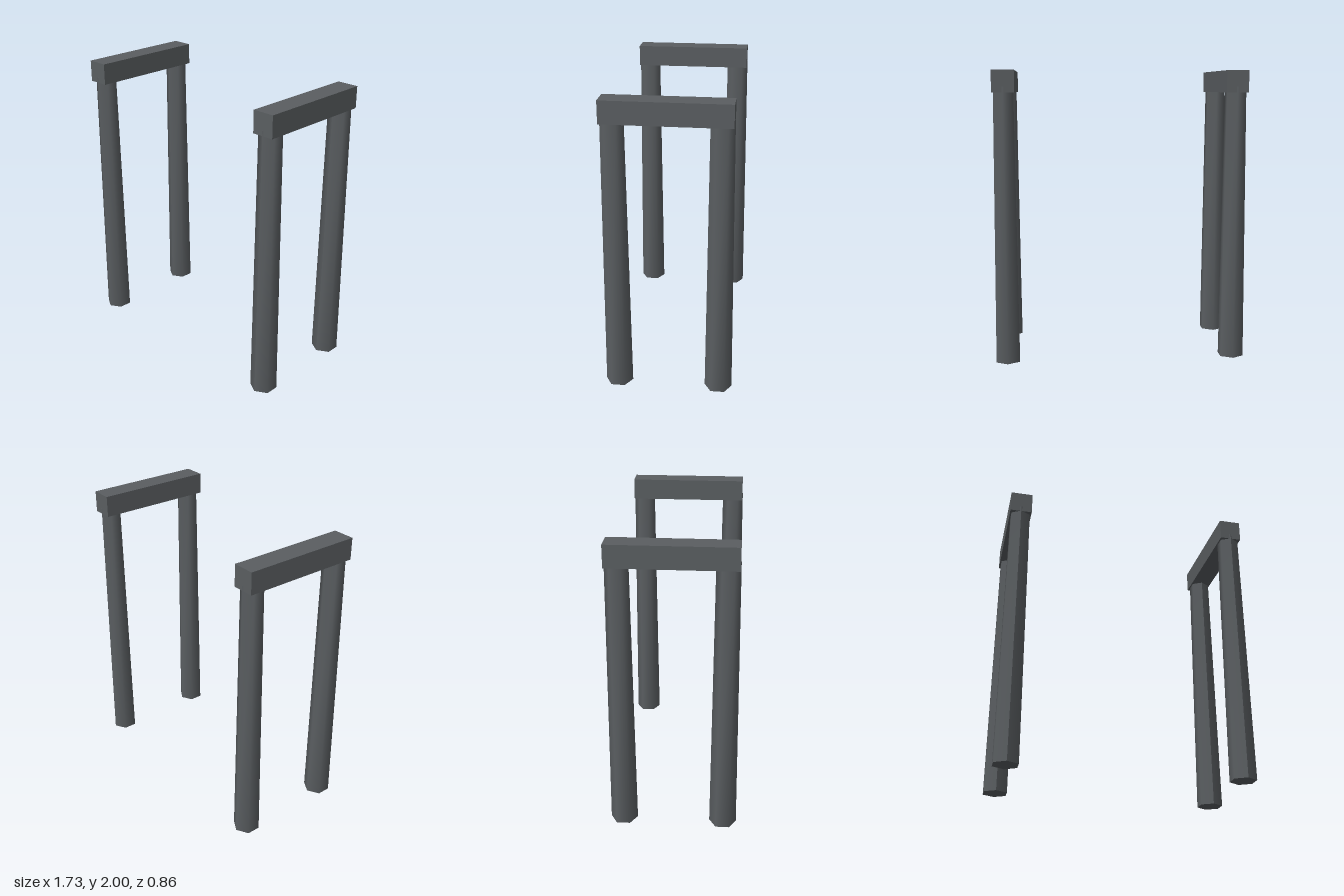
import * as THREE from 'three';

export function createModel() {
  const model = new THREE.Group();
  model.name = 'twinGateFrames';
  const darkGrey = new THREE.MeshStandardMaterial({ color: 0x5a5e61 });
  darkGrey.name = 'darkGrey';

  // Tapered six-sided post with a corner facing front; shading is smooth except at the front seam
  const postHeight = 1.89;
  const postGeometry = new THREE.CylinderGeometry(0.0755, 0.092, postHeight, 6);
  postGeometry.translate(0, postHeight / 2, 0);
  postGeometry.computeVertexNormals();

  // Beam lying across the tops of a pair of posts
  const beamGeometry = new THREE.BoxGeometry(0.151, 0.148, 0.824);

  const add = (parent, geometry, name, x, y, z) => {
    const mesh = new THREE.Mesh(geometry, darkGrey);
    mesh.name = name;
    mesh.position.set(x, y, z);
    parent.add(mesh);
  };

  // One frame on each side
  for (const [side, x] of [['left', 0.787], ['right', -0.787]]) {
    const frame = new THREE.Group();
    frame.name = side + 'Frame';
    frame.position.x = x;
    add(frame, postGeometry, side + 'FrontPost', 0, 0, 0.34);
    add(frame, postGeometry, side + 'BackPost', 0, 0, -0.34);
    add(frame, beamGeometry, side + 'TopBeam', 0, 1.926, 0);
    model.add(frame);
  }
  return model;
}
